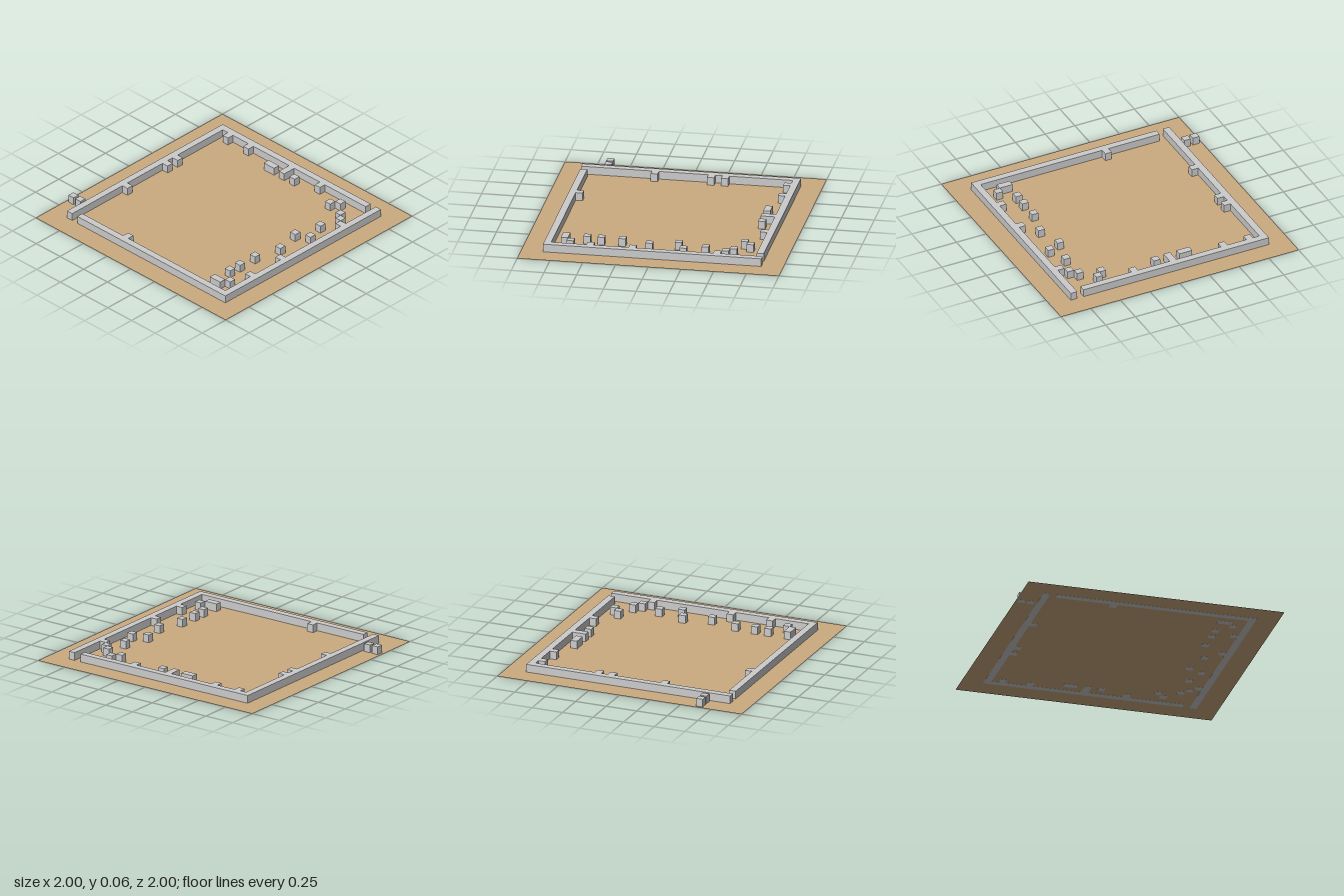
import * as THREE from 'three';

const CELL = 0.0538;   // plan grid spacing
const HEIGHT = 0.062;  // height of walls and blocks

export function createModel() {
  const model = new THREE.Group();
  const stone = new THREE.MeshStandardMaterial({ color: 0xcccccc, flatShading: true });
  const earth = new THREE.MeshStandardMaterial({ color: 0xccab80, side: THREE.DoubleSide });

  // Box filling the grid cells from (x0, z0) to (x1, z1) inclusive
  function addBlock(parent, name, x0, z0, x1 = x0, z1 = z0) {
    const geometry = new THREE.BoxGeometry((x1 - x0 + 1) * CELL, HEIGHT, (z1 - z0 + 1) * CELL);
    const mesh = new THREE.Mesh(geometry, stone);
    mesh.name = name;
    mesh.position.set((x0 + x1) / 2 * CELL, HEIGHT / 2, (z0 + z1) / 2 * CELL);
    parent.add(mesh);
  }

  function addGroup(name) {
    const group = new THREE.Group();
    group.name = name;
    model.add(group);
    return group;
  }

  // Thin ground sheet, a hair above the block bottoms so they show from below
  const ground = new THREE.Mesh(new THREE.PlaneGeometry(2, 2).rotateX(-Math.PI / 2), earth);
  ground.name = 'ground';
  ground.position.y = 0.0005;
  model.add(ground);

  // Perimeter walls, with gaps at two opposite corners
  const walls = addGroup('walls');
  addBlock(walls, 'rightWall', -15, -15, -15, 15);
  addBlock(walls, 'leftWall', 15, -15, 15, 15);
  addBlock(walls, 'backWall', -14, -15, 13, -15);
  addBlock(walls, 'frontWall', -13, 15, 14, 15);

  // Short stubs projecting inward from the walls
  const stubs = addGroup('wallStubs');
  [[-13, -14], [-9, -14], [-1, -14, -1, -13], [5, -14],
    [-14, -5], [-14, -3], [-14, 5], [-5, 14],
    [14, -9], [14, 3], [14, 9]].forEach((cells) => addBlock(stubs, 'wallStub', ...cells));

  // Loose blocks inside the enclosure
  const blocks = addGroup('looseBlocks');
  [[-4, -13, -3, -13], [1, -13], [10, -13], [9, -12], [12, -11], [13, -10],
    [12, -7], [13, -4], [11, -3], [12, 1], [11, 5], [11, 8], [11, 10],
    [13, 12], [11, 13, 12, 13]].forEach((cells) => addBlock(blocks, 'looseBlock', ...cells));

  // Two blocks outside the wall
  const outer = addGroup('outerBlocks');
  [-17.7, -16.35].forEach((x) => addBlock(outer, 'outerBlock', x, 12));

  return model;
}
